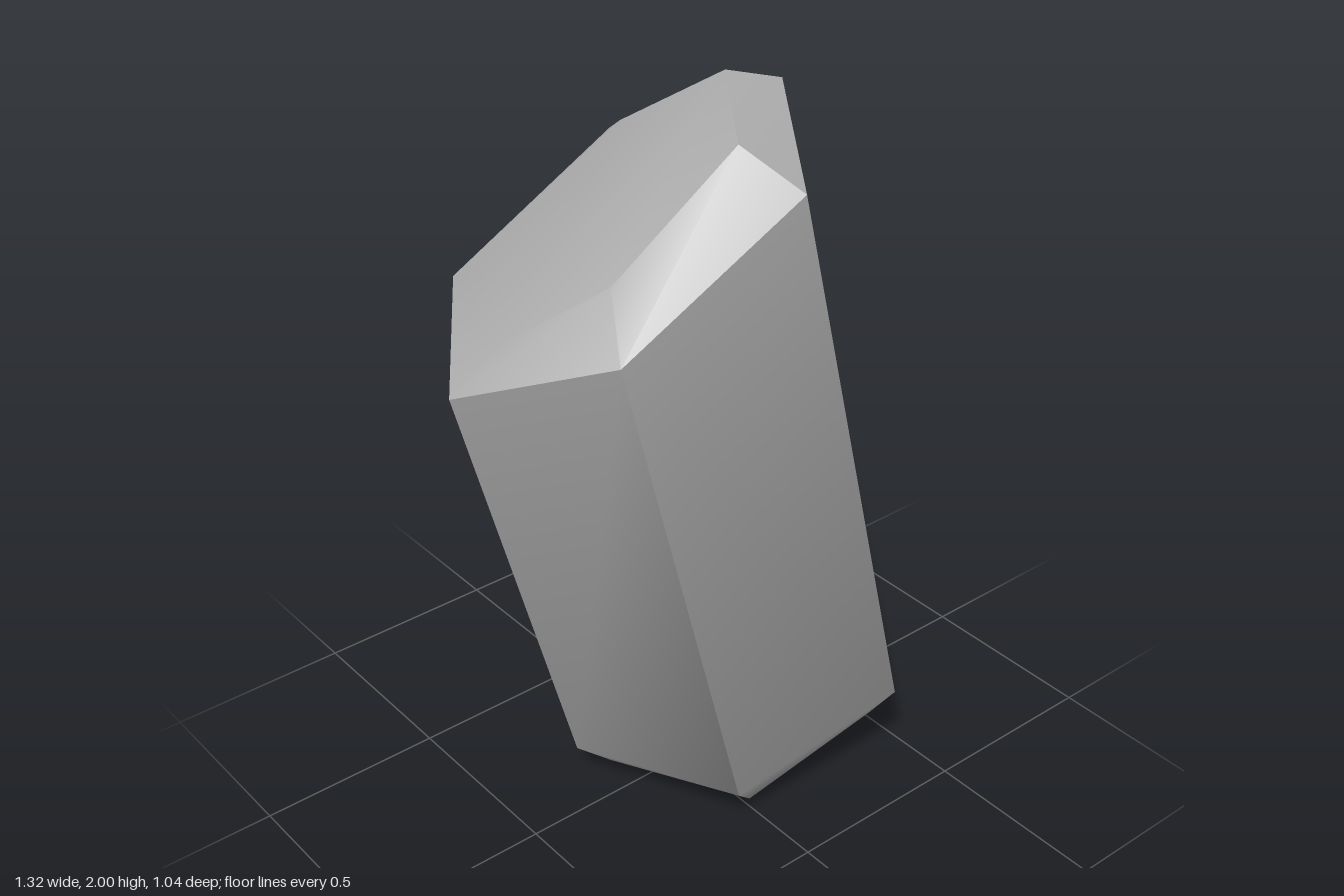
import * as THREE from 'three';
import { ConvexGeometry } from 'three/addons/geometries/ConvexGeometry.js';
import { toCreasedNormals } from 'three/addons/utils/BufferGeometryUtils.js';

// Tilted six-sided crystal: each ring is a list of [x, y, z] corners.
const bottomFace = [
  [0.39, 0.14, 0.31], [0.62, 0.235, -0.01], [0.44, 0.215, -0.4],
  [0.06, 0.1, -0.45], [-0.17, 0, -0.11], [0, 0.025, 0.27],
];
const lowerShoulder = [
  [0.39, 0.265, 0.4], [0.66, 0.38, 0], [0.465, 0.35, -0.46],
  [-0.01, 0.215, -0.52], [-0.28, 0.1, -0.11], [-0.09, 0.125, 0.33],
];
const upperShoulder = [
  [-0.1, 1.88, 0.52], [0.195, 1.94, 0.11], [0.055, 1.705, -0.355],
  [-0.37, 1.41, -0.43], [-0.66, 1.355, -0.02], [-0.53, 1.585, 0.44],
];
// The slanted tip meets the shoulder at its low back corner.
const slantedTip = [
  [-0.185, 1.975, 0.4], [0.025, 2, 0.11], [-0.03, 1.797, -0.2],
  [-0.59, 1.485, 0.05], [-0.48, 1.72, 0.345],
];

export function createModel() {
  const group = new THREE.Group();
  group.name = 'crystal';

  const stoneGrey = new THREE.MeshStandardMaterial({ color: 0xb8b8b8 });
  stoneGrey.name = 'stoneGrey';

  const points = [bottomFace, lowerShoulder, upperShoulder, slantedTip]
    .flat()
    .map((p) => new THREE.Vector3(...p));

  // Soft bevels, sharp edges between the long sides.
  const geometry = toCreasedNormals(new ConvexGeometry(points), THREE.MathUtils.degToRad(42));
  const body = new THREE.Mesh(geometry, stoneGrey);
  body.name = 'crystalBody';
  group.add(body);
  return group;
}
